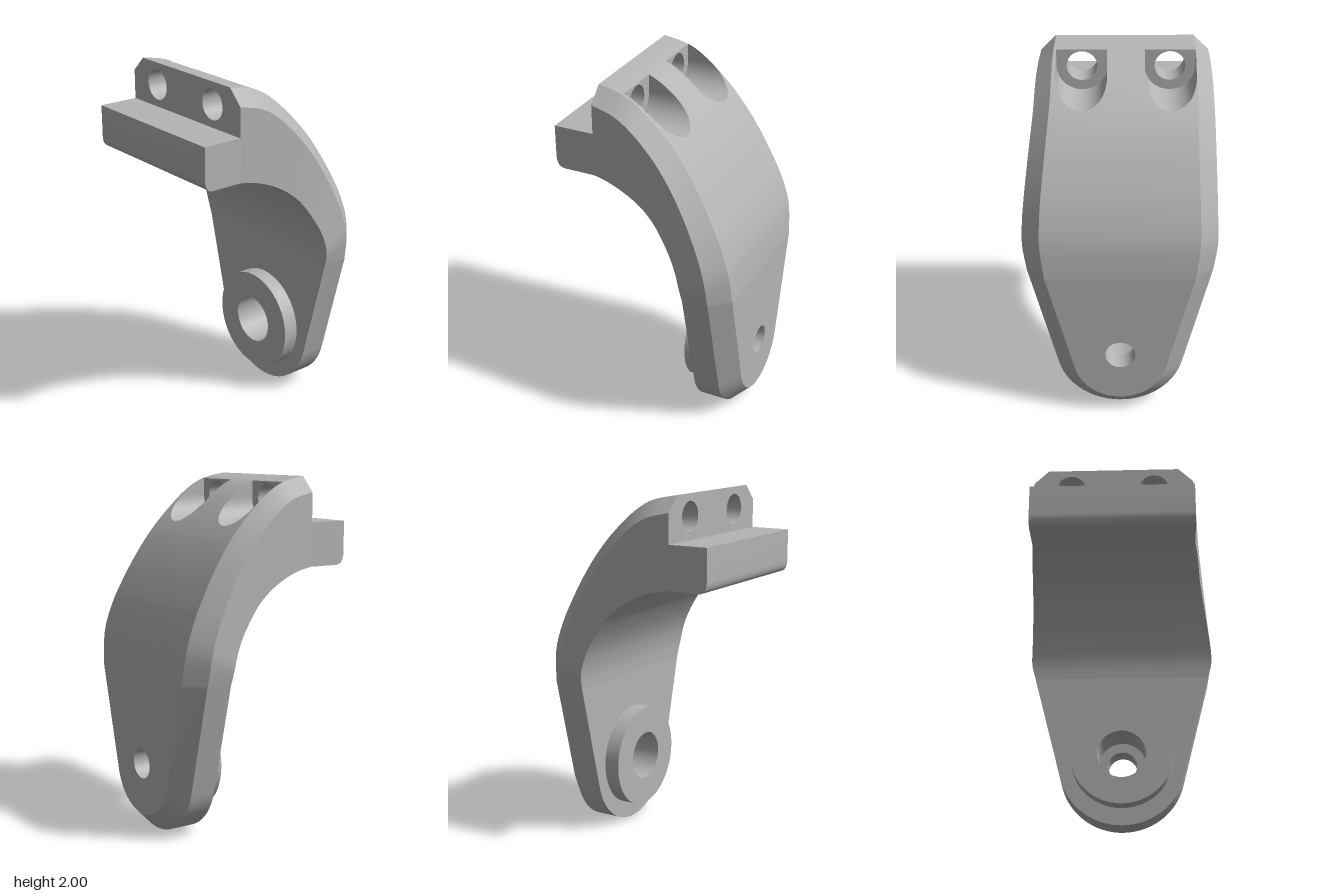
import * as THREE from 'three';
import { toCreasedNormals } from 'three/addons/utils/BufferGeometryUtils.js';

// Profile stations, top to leg: outer x, outer y, inner x, inner y, half width, centre z
const KEYS = [
  [-0.29, 2.0, -0.29, 1.505, 0.468, 0.006],
  [-0.146, 1.97, -0.2, 1.49, 0.478, 0.008],
  [-0.03, 1.905, -0.1, 1.455, 0.487, 0.01],
  [0.1, 1.79, 0, 1.4, 0.495, 0.012],
  [0.21, 1.666, 0.083, 1.33, 0.505, 0.018],
  [0.3, 1.535, 0.145, 1.25, 0.515, 0.024],
  [0.38, 1.395, 0.2, 1.16, 0.525, 0.03],
  [0.45, 1.25, 0.235, 1.08, 0.533, 0.034],
  [0.5, 1.09, 0.258, 0.99, 0.535, 0.035],
  [0.52, 0.9, 0.267, 0.9, 0.513, 0.035],
];
const LAST = KEYS.length - 1;
const LEG = { inner: 0.267, outer: 0.52, chamfer: 0.1, z: 0.035, round: 0.365 };
const POCKET = { x: -0.146, y: 1.875, z: 0.243, r: 0.14, bore: 0.085 };
const WALL = -0.29;

// Smooth interpolation of the stations
function station(t) {
  const i = Math.min(Math.floor(t), LAST - 1), f = t - i;
  const k = (j) => KEYS[Math.max(0, Math.min(LAST, j))];
  const v = KEYS[0].map((_, c) => {
    const a = k(i - 1)[c], b = k(i)[c], d = k(i + 1)[c], e = k(i + 2)[c];
    return b + 0.5 * f * (d - a + f * (2 * a - 5 * b + 4 * d - e + f * (3 * (b - d) + e - a)));
  });
  return { ox: v[0], oy: v[1], ix: v[2], iy: v[3], h: v[4], z: v[5], c: 0.085 + 0.015 * Math.min(t / 4, 1) };
}

// Cross-section corners on one side (s = 1 or -1): inner edge, chamfer start, outer edge
function section(t, s) {
  const p = station(t);
  const len = Math.hypot(p.ix - p.ox, p.iy - p.oy), k = p.c / len;
  const z = p.z + s * p.h;
  return {
    inner: [p.ix, p.iy, z],
    rim: [p.ox + (p.ix - p.ox) * k, p.oy + (p.iy - p.oy) * k, z],
    outer: [p.ox, p.oy, p.z + s * (p.h - p.c)],
  };
}

// Surface through rows of points
function grid(rows) {
  const n = rows[0].length, index = [];
  for (let i = 0; i < rows.length - 1; i++) {
    for (let j = 0; j < n - 1; j++) {
      const a = i * n + j, b = a + n;
      index.push(a, b, a + 1, b, b + 1, a + 1);
    }
  }
  const g = new THREE.BufferGeometry();
  g.setAttribute('position', new THREE.Float32BufferAttribute(rows.flat(2), 3));
  g.setIndex(index);
  g.computeVertexNormals();
  return g;
}

const range = (n, f) => Array.from({ length: n + 1 }, (_, i) => f(i / n));

// Flat plate standing at x, facing +x or -x, with round holes [z, y, r]
function plate(points, holes, x, z, facing) {
  const shape = new THREE.Shape(points.map((p) => new THREE.Vector2(p[0], p[1])));
  for (const [hx, hy, r] of holes) {
    shape.holes.push(new THREE.Path().absarc(hx, hy, r, 0, Math.PI * 2, true));
  }
  return new THREE.ShapeGeometry(shape, 24).rotateY(facing * Math.PI / 2).translate(x, 0, z);
}

export function createModel() {
  const group = new THREE.Group();
  const metal = new THREE.MeshStandardMaterial({ color: 0xb4b4b4, side: THREE.DoubleSide });
  metal.name = 'plain grey';
  const add = (name, geometry) => {
    const mesh = new THREE.Mesh(geometry, metal);
    mesh.name = name;
    group.add(mesh);
  };

  // Half outline of the leg: straight taper, then a rounded foot (half width, y)
  const slope = Math.atan(0.254);
  const foot = (r) => range(20, (f) => {
    const a = -slope - f * (Math.PI / 2 - slope);
    return [Math.max(r * Math.cos(a), 0.0005), LEG.round + r * Math.sin(a)];
  });
  const rimLine = [[0.513, 0.9], ...foot(LEG.round)];
  const insetLine = [[0.413, 0.9], ...foot(LEG.round - LEG.chamfer)];

  // Rim and chamfer as continuous ribbons round the edge
  const sideRows = (s) => [
    ...range(LAST * 5, (f) => section(f * LAST, s)),
    ...rimLine.slice(1).map(([h, y], i) => ({
      inner: [LEG.inner, y, LEG.z + s * h],
      rim: [LEG.outer - LEG.chamfer, y, LEG.z + s * h],
      outer: [LEG.outer, insetLine[i + 1][1], LEG.z + s * insetLine[i + 1][0]],
    })),
  ];
  const around = [...sideRows(1), ...sideRows(-1).reverse()];
  add('rim', grid(around.map((p) => [p.inner, p.rim])));
  add('chamfer', grid(around.map((p) => [p.rim, p.outer])));

  // Curved inner face, and outer face away from the pockets
  const across = (key, t0, t1) => grid(range(Math.round((t1 - t0) * 5), (f) => {
    const t = t0 + f * (t1 - t0);
    return [section(t, -1)[key], section(t, 1)[key]];
  }));
  add('innerCurve', across('inner', 0, LAST));
  add('outerCurveTop', across('outer', 0, 1));
  add('outerCurve', across('outer', 4, LAST));

  // Flat faces of the leg
  const mirror = (line) => [...line, ...line.map(([h, y]) => [-h, y]).reverse()];
  add('legOuterFace', plate(mirror(insetLine), [[0, 0.395, 0.085]], LEG.outer, LEG.z, 1));
  add('legInnerFace', plate(mirror(rimLine), [[0, 0.395, 0.2]], LEG.inner, LEG.z, -1));

  // Boss with its stepped bore
  const bossProfile = [[0.085, 0.52], [0.085, 0.4], [0.14, 0.4], [0.14, 0.177], [0.295, 0.177], [0.295, 0.267]];
  const boss = new THREE.LatheGeometry(bossProfile.map((p) => new THREE.Vector2(p[0], p[1])), 48);
  add('boss', toCreasedNormals(boss.rotateZ(-Math.PI / 2).translate(0, 0.395, LEG.z), 0.6));

  // Outer face around the pockets, in columns running down the curve
  const column = (zAt, t0) => range(15, (f) => {
    const t = t0 + f * (4 - t0), p = station(t);
    return [p.ox, p.oy, zAt(t)];
  });
  const fixed = (z) => column(() => z, 1);
  const edge = (s) => column((t) => section(t, s).outer[2], 1);
  const { r, z: pz } = POCKET;
  add('outerStripRight', grid([edge(-1), fixed(-pz - r)]));
  add('outerStripMiddle', grid([fixed(-pz + r), fixed(pz - r)]));
  add('outerStripLeft', grid([fixed(pz + r), edge(1)]));

  // Station where the outer face reaches a given height
  const stationAt = (y) => {
    let a = 1, b = 4;
    for (let i = 0; i < 40; i++) {
      const m = (a + b) / 2;
      if (station(m).oy > y) a = m; else b = m;
    }
    return a;
  };

  for (const s of [-1, 1]) {
    const side = s > 0 ? 'left' : 'right', z = s * pz;
    // U-shaped pocket
    const arc = range(28, (f) => {
      const a = (f - 0.5) * Math.PI;
      const d = r * Math.sin(a), y = POCKET.y - r * Math.cos(a);
      return { d, y, t: stationAt(y) };
    });
    add(side + 'PocketSurround', grid(arc.map((p) => column(() => z + p.d, p.t))));
    add(side + 'PocketFloor', grid(arc.map((p) => [
      [POCKET.x, p.y, z + p.d], [station(p.t).ox, p.y, z + p.d],
    ])));
    const tEnd = arc[0].t;
    for (const d of [-r, r]) {
      add(side + 'PocketSide', grid(range(10, (f) => {
        const p = station(1 + f * (tEnd - 1));
        return [[p.ox, p.oy, z + d], [p.ox, POCKET.y, z + d]];
      })));
    }
    const back = [[r, 1.97], [-r, 1.97], ...arc.map((p) => [p.d, p.y])];
    add(side + 'PocketBack', plate(back, [[0, POCKET.y, POCKET.bore]], POCKET.x, z, 1));
    // Bolt hole through the wall
    const depth = POCKET.x - WALL;
    const bore = new THREE.CylinderGeometry(POCKET.bore, POCKET.bore, depth, 32, 1, true);
    add(side + 'BoltHole', bore.rotateZ(Math.PI / 2).translate(WALL + depth / 2, POCKET.y, z));
  }

  // Mounting wall above the step
  const wall = [[-0.468, 1.75], [0.468, 1.75], [0.468, 1.915], [0.383, 2], [-0.383, 2], [-0.468, 1.915]];
  const holes = [-1, 1].map((s) => [s * pz - 0.006, POCKET.y, POCKET.bore]);
  add('mountingWall', plate(wall, holes, WALL, 0.006, -1));

  // Step with a rounded lower edge
  const step = new THREE.Shape();
  step.moveTo(WALL, 1.75);
  step.lineTo(-0.52, 1.75);
  step.lineTo(-0.52, 1.57);
  step.quadraticCurveTo(-0.518, 1.507, -0.47, 1.505);
  step.lineTo(WALL, 1.505);
  const stepBlock = new THREE.ExtrudeGeometry(step, { depth: 0.936, bevelEnabled: false, curveSegments: 8 });
  add('step', toCreasedNormals(stepBlock.translate(0, 0, -0.462), 0.6));

  // The bracket stands slightly turned
  group.rotation.y = 0.171;
  const model = new THREE.Group();
  model.name = 'bracket';
  model.add(group);
  return model;
}
